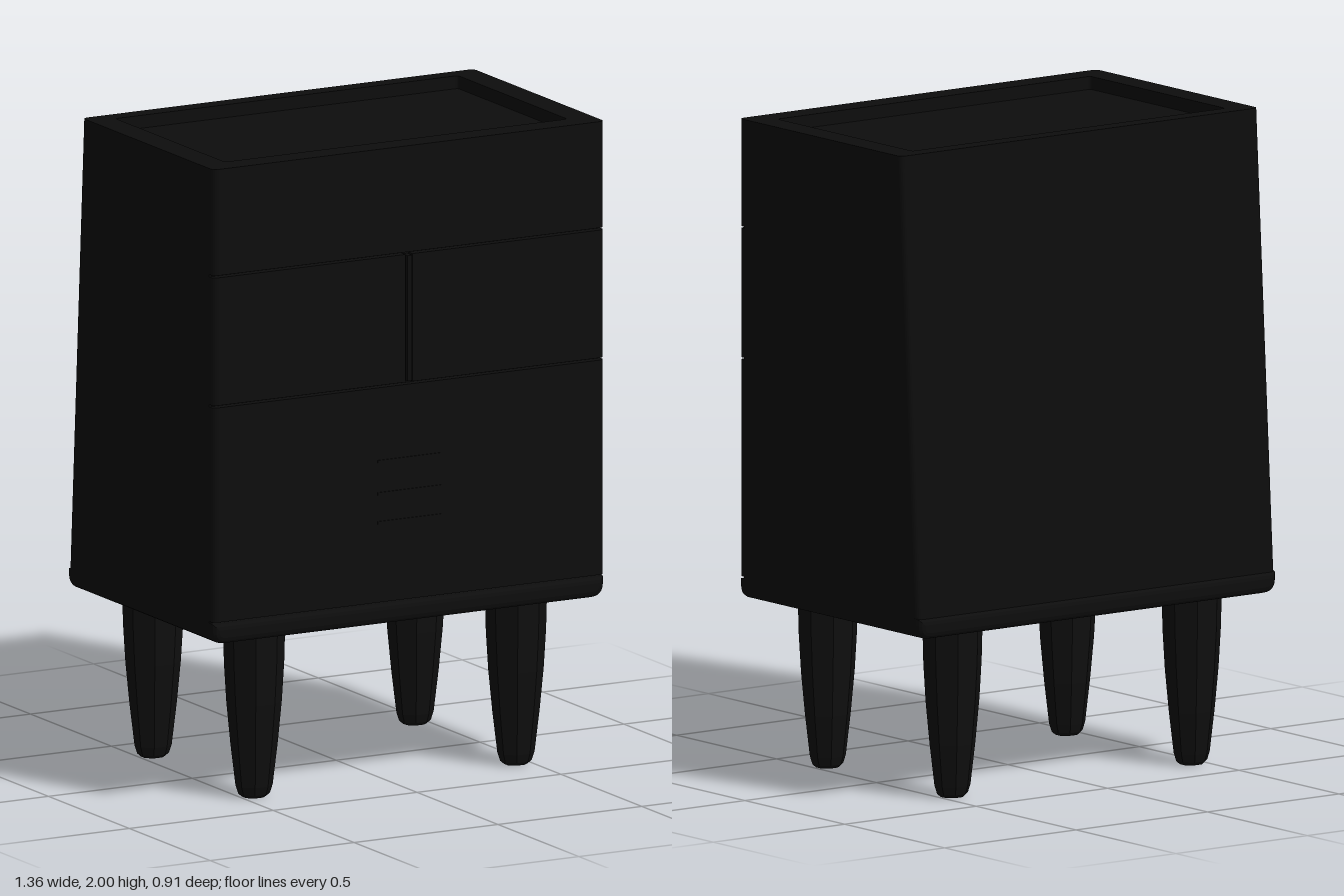
import * as THREE from 'three';

const W = 0.68, FRONT = 0.45, CORE = 0.425, BACK = -0.445;

// Rounded rectangle in plan; shape y is -z. Front and back corners have their own radii.
function plan(x0, x1, zBack, zFront, rBack, rFrontLeft, rFrontRight) {
  const s = new THREE.Shape(), f = -zFront, b = -zBack;
  s.moveTo(x0 + rFrontLeft, f);
  s.lineTo(x1 - rFrontRight, f);
  if (rFrontRight) s.quadraticCurveTo(x1, f, x1, f + rFrontRight);
  s.lineTo(x1, b - rBack);
  if (rBack) s.quadraticCurveTo(x1, b, x1 - rBack, b);
  s.lineTo(x0 + rBack, b);
  if (rBack) s.quadraticCurveTo(x0, b, x0, b - rBack);
  s.lineTo(x0, f + rFrontLeft);
  if (rFrontLeft) s.quadraticCurveTo(x0, f, x0 + rFrontLeft, f);
  return s;
}

// Extrude a plan shape upwards from y0 to y1
function rise(shape, y0, y1) {
  const g = new THREE.ExtrudeGeometry(shape, { depth: y1 - y0, bevelEnabled: false, curveSegments: 5 });
  g.rotateX(-Math.PI / 2);
  g.translate(0, y0, 0);
  return g;
}

// Lean the rear wall forwards with height
function leanBack(g) {
  const p = g.attributes.position;
  for (let i = 0; i < p.count; i++) {
    if (p.getZ(i) < -0.35) p.setZ(i, p.getZ(i) + 0.085 * (p.getY(i) - 0.59) / 1.41);
  }
  g.computeVertexNormals();
  return g;
}

export function createModel() {
  const model = new THREE.Group();
  const black = new THREE.MeshStandardMaterial({ color: 0x0d0d0d });
  black.name = 'black lacquer';
  const legBlack = new THREE.MeshStandardMaterial({ color: 0x0f0f0f, flatShading: true });
  legBlack.name = 'black leg';

  const add = (name, geometry, material = black) => {
    const m = new THREE.Mesh(geometry, material);
    m.name = name;
    model.add(m);
    return m;
  };

  // Carcass with a shallow tray in the top
  const outline = () => plan(-W, W, BACK, CORE, 0.02, 0, 0);
  add('carcass', leanBack(rise(outline(), 0.58, 1.96)));
  const rim = outline();
  rim.holes.push(plan(-0.595, 0.595, -0.305, 0.37, 0.01, 0.01, 0.01));
  const rimGeometry = rise(rim, 1.96, 2);
  const p = rimGeometry.attributes.position;
  for (let i = 0; i < p.count; i++) {
    // match the lean of the carcass below
    if (p.getZ(i) < -0.35) p.setZ(i, p.getZ(i) + 0.085 * (p.getY(i) - 0.59) / 1.41);
  }
  add('topRim', rimGeometry);

  // Front panels, separated by narrow grooves
  const panel = (name, x0, x1, y0, y1, rl, rr) =>
    add(name, rise(plan(x0, x1, CORE, FRONT, 0, rl, rr), y0, y1));
  const r = 0.02;
  panel('topFascia', -W, W, 1.67, 2, r, r);
  panel('rightDrawer', -W, -0.012, 1.266, 1.663, r, 0);
  panel('leftDrawer', 0.012, W, 1.266, 1.663, 0, r);
  panel('lowerDoor', -W, W, 0.592, 1.259, r, r);

  // Upright divider between the drawers
  const divider = add('drawerDivider', new THREE.BoxGeometry(0.016, 0.39, 0.031));
  divider.position.set(0, 1.465, 0.44);

  // Thin slats on the lower door
  [1.03, 0.93, 0.84].forEach((y) => {
    const slat = add('doorSlat', new THREE.BoxGeometry(0.22, 0.008, 0.006));
    slat.position.set(0, y, FRONT);
  });

  // Base slab with rounded lower corners
  const slab = new THREE.Shape();
  slab.moveTo(-W, 0.587);
  slab.lineTo(-W, 0.565);
  slab.quadraticCurveTo(-W, 0.522, -W + 0.045, 0.522);
  slab.lineTo(W - 0.045, 0.522);
  slab.quadraticCurveTo(W, 0.522, W, 0.565);
  slab.lineTo(W, 0.587);
  slab.closePath();
  const base = new THREE.ExtrudeGeometry(slab, {
    depth: 0.87, bevelThickness: 0.02, bevelSize: 0.02, bevelOffset: -0.02, bevelSegments: 3, curveSegments: 6,
  });
  base.translate(0, 0, -0.436);
  add('baseSlab', base);

  // Four tapered, faceted legs
  const profile = [[0, 0.004], [0.036, 0.004], [0.047, 0.014], [0.055, 0.04], [0.07, 0.17],
    [0.082, 0.3], [0.089, 0.42], [0.092, 0.54]].map(([x, y]) => new THREE.Vector2(x, y));
  const legGeometry = new THREE.LatheGeometry(profile, 8);
  legGeometry.rotateY(Math.PI / 8);
  legGeometry.scale(1.06, 1, 0.92);
  for (const side of [-1, 1]) {
    for (const [name, z] of [['frontLeg', 0.302], ['backLeg', -0.322]]) {
      add(name, legGeometry, legBlack).position.set(side * 0.455, -0.004, z);
    }
  }
  return model;
}
